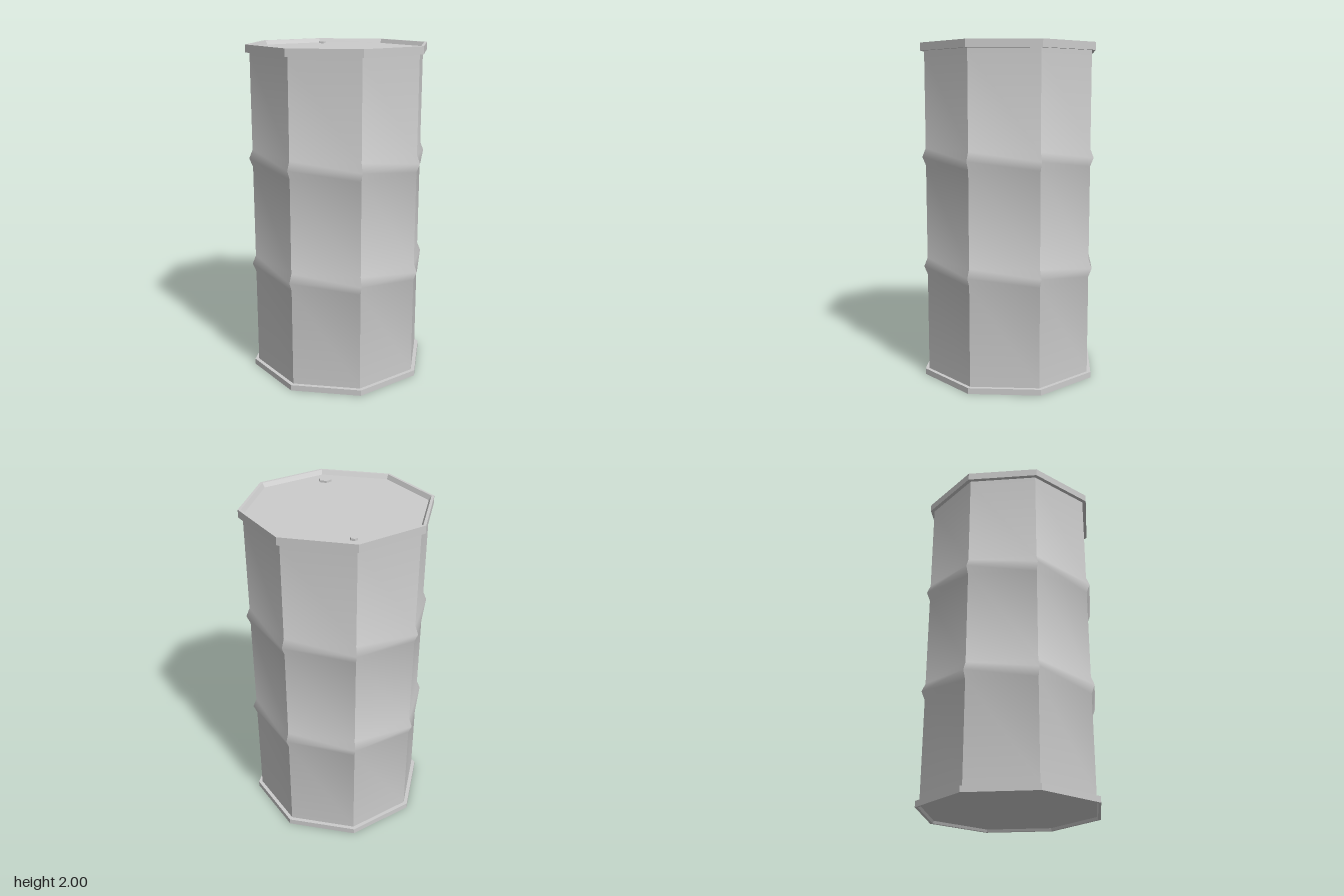
import * as THREE from 'three';
import { toCreasedNormals } from 'three/addons/utils/BufferGeometryUtils.js';

const SIDES = 8;
const BODY_R = 0.523;
const RIM_R = 0.547;

const smooth = new THREE.MeshStandardMaterial({ color: 0xcccccc });
const flat = new THREE.MeshStandardMaterial({ color: 0xcccccc, flatShading: true });

// Octagonal turned shape from [radius, height] pairs
function turned(profile) {
  return new THREE.LatheGeometry(profile.map(([r, y]) => new THREE.Vector2(r, y)), SIDES);
}

export function createModel() {
  const drum = new THREE.Group();
  drum.name = 'drum';

  function add(name, geometry, material, y = 0, z = 0) {
    const mesh = new THREE.Mesh(geometry, material);
    mesh.name = name;
    mesh.position.set(0, y, z);
    drum.add(mesh);
  }

  // Wall with two swaged hoops, soft along its height and sharp between sides
  const wall = [[BODY_R, 0.035]];
  for (const y of [0.68, 1.34]) {
    wall.push([BODY_R, y - 0.052], [0.544, y], [BODY_R, y + 0.052]);
  }
  wall.push([BODY_R, 1.955]);
  add('wall', toCreasedNormals(turned(wall), THREE.MathUtils.degToRad(41.5)), smooth);

  // Top rim with the recessed lid inside it
  add('topRimAndLid', turned([
    [BODY_R, 1.955], [RIM_R, 1.955], [RIM_R, 2], [0.53, 2], [0.516, 1.975], [0, 1.975],
  ]), flat);

  // Bottom rim with the slightly recessed base
  add('bottomRimAndBase', turned([
    [0, 0.015], [0.522, 0.015], [0.53, 0], [RIM_R, 0], [RIM_R, 0.035], [BODY_R, 0.035],
  ]), flat);

  // Hexagonal bungs on the lid
  add('largeBung', new THREE.CylinderGeometry(0.04, 0.04, 0.014, 6), flat, 1.98, 0.41);
  add('smallBung', new THREE.CylinderGeometry(0.021, 0.021, 0.014, 6), flat, 1.98, -0.43);

  return drum;
}
